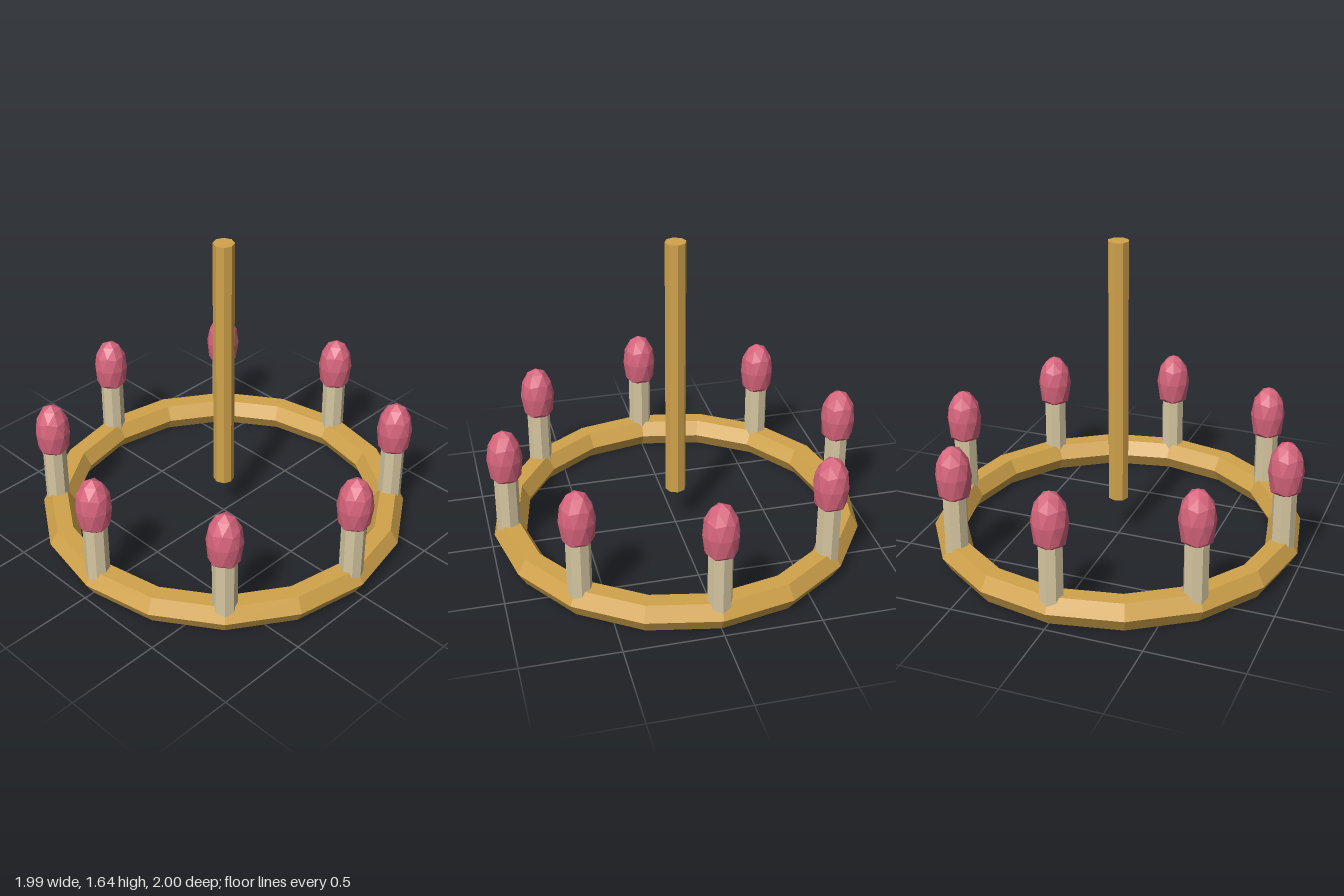
import * as THREE from 'three';

const mat = (name, color) => {
  const m = new THREE.MeshStandardMaterial({ color, flatShading: true });
  m.name = name;
  return m;
};

const part = (name, geometry, material, x = 0, y = 0, z = 0) => {
  const mesh = new THREE.Mesh(geometry, material);
  mesh.name = name;
  mesh.position.set(x, y, z);
  return mesh;
};

// Faceted flame with a pointed top and a blunt underside
function flameGeometry() {
  const geo = new THREE.IcosahedronGeometry(1, 1);
  geo.rotateZ(Math.atan(2 / (1 + Math.sqrt(5)))); // one corner straight up
  const p = geo.attributes.position;
  for (let i = 0; i < p.count; i++) {
    const y = p.getY(i);
    p.setXYZ(i, p.getX(i) * 0.093, y > 0 ? y * 0.16 : Math.max(y * 0.21, -0.13), p.getZ(i) * 0.093);
  }
  geo.computeVertexNormals();
  return geo;
}

export function createModel() {
  const gold = mat('gold', 0xd1a34b);
  const wax = mat('wax', 0xd6c7a1);
  const pink = mat('pink', 0xd6647c);
  const model = new THREE.Group();
  model.name = 'chandelier';

  // Six-sided ring lying flat
  const ring = new THREE.TorusGeometry(0.9, 0.0866, 6, 16).rotateX(Math.PI / 2);
  model.add(part('ring', ring, gold, 0, 0.075, 0));

  // Central hanging rod
  model.add(part('rod', new THREE.CylinderGeometry(0.055, 0.055, 1.42, 8), gold, 0, 0.935, 0));

  // Eight candles around the ring
  const candleGeo = new THREE.CylinderGeometry(0.063, 0.063, 0.35, 8);
  const flameGeo = flameGeometry();
  for (let i = 0; i < 8; i++) {
    const a = (i * Math.PI) / 4;
    const candle = new THREE.Group();
    candle.name = 'candle';
    candle.position.set(Math.sin(a) * 0.905, 0, Math.cos(a) * 0.905);
    candle.add(part('candleStick', candleGeo, wax, 0, 0.255, 0));
    candle.add(part('flame', flameGeo, pink, 0, 0.54, 0));
    model.add(candle);
  }
  return model;
}
